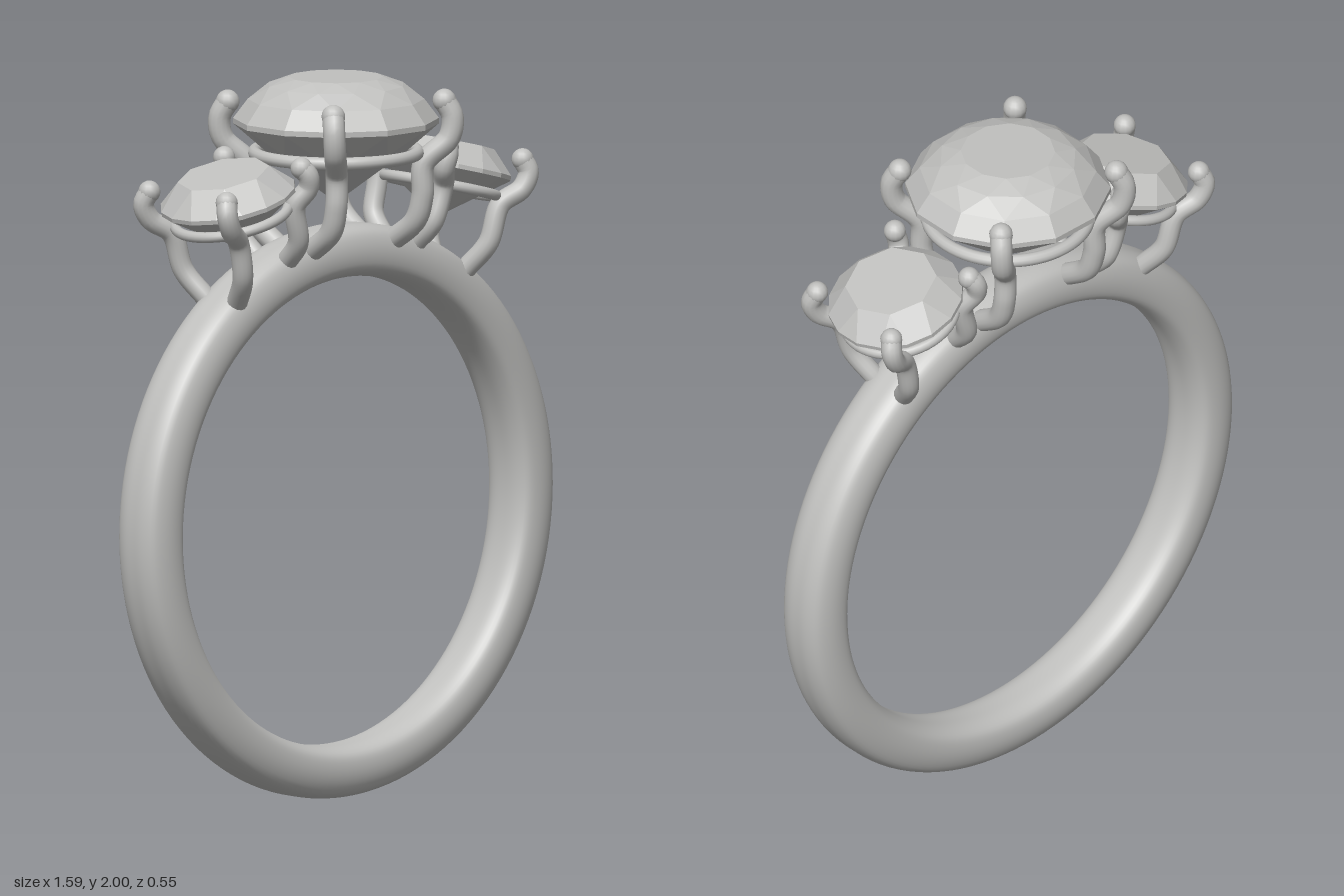
import * as THREE from 'three';
import { ConvexGeometry } from 'three/addons/geometries/ConvexGeometry.js';

const silver = new THREE.MeshStandardMaterial({ color: 0xc0c0be });
silver.name = 'silverGrey';

function add(parent, geometry, name) {
  const mesh = new THREE.Mesh(geometry, silver);
  mesh.name = name;
  parent.add(mesh);
  return mesh;
}

// Faceted stone: hull over rings of [radius, height, sides, turn in steps]
function gem(rings) {
  const pts = [];
  for (const [r, y, n, turn] of rings) {
    for (let i = 0; i < n; i++) {
      const a = ((i + turn) / n) * Math.PI * 2;
      pts.push(new THREE.Vector3(r * Math.cos(a), y, r * Math.sin(a)));
    }
  }
  return new ConvexGeometry(pts);
}

// Bent claw with rounded ends
function prong(parent, points, radius, name) {
  const group = new THREE.Group();
  group.name = name;
  const path = points.map((p) => new THREE.Vector3(...p));
  const curve = new THREE.CatmullRomCurve3(path, false, 'centripetal');
  add(group, new THREE.TubeGeometry(curve, 36, radius, 14, false), 'claw');
  for (const [end, size] of [[path[0], 1], [path[path.length - 1], 1.06]]) {
    add(group, new THREE.SphereGeometry(radius * size, 14, 10), 'clawEnd').position.copy(end);
  }
  parent.add(group);
}

// Rounded band, slightly wider at the top
function bandGeometry() {
  const half = [[0.65, 0], [0.654, 0.045], [0.672, 0.075], [0.705, 0.085],
    [0.745, 0.082], [0.778, 0.066], [0.793, 0.035], [0.795, 0]];
  const loop = [...half, ...half.slice(1, -1).reverse().map(([r, z]) => [r, -z])];
  const curve = new THREE.CatmullRomCurve3(
    loop.map(([r, z]) => new THREE.Vector3(r, z, 0)), true, 'centripetal');
  const profile = curve.getPoints(48).reverse().map((p) => new THREE.Vector2(p.x, p.y));
  // Lathe faces point outward when the section runs counter-clockwise
  let area = 0;
  profile.forEach((p, i) => { area += p.cross(profile[(i + 1) % profile.length]); });
  if (area < 0) profile.reverse();
  const g = new THREE.LatheGeometry(profile, 128);
  g.rotateX(Math.PI / 2);
  const pos = g.attributes.position;
  for (let i = 0; i < pos.count; i++) {
    pos.setZ(i, pos.getZ(i) * (1 + 0.07 * pos.getY(i)));
  }
  return g;
}

export function createModel() {
  const model = new THREE.Group();
  model.name = 'threeStoneRing';

  add(model, bandGeometry(), 'band').position.y = 0.795;

  // Centre stone and its setting
  const centre = new THREE.Group();
  centre.name = 'centreSetting';
  model.add(centre);
  add(centre, gem([
    [0.13, 2.0, 12, 0.5], [0.19, 1.978, 12, 0], [0.243, 1.938, 12, 0.5],
    [0.283, 1.885, 12, 0.5], [0.283, 1.87, 12, 0.5],
    [0.2, 1.8, 12, 0], [0, 1.65, 1, 0],
  ]), 'centreStone');
  const rail = add(centre, new THREE.TorusGeometry(0.225, 0.018, 12, 64), 'centreRail');
  rail.rotation.x = Math.PI / 2;
  rail.position.y = 1.79;

  for (const sx of [1, -1]) {
    // Side stone, leaning outward
    const side = new THREE.Group();
    side.name = sx > 0 ? 'leftSetting' : 'rightSetting';
    model.add(side);
    const head = new THREE.Group();
    head.name = 'sideHead';
    head.position.set(0.422 * sx, 1.712, 0);
    head.rotation.z = -sx * THREE.MathUtils.degToRad(15);
    side.add(head);
    add(head, gem([
      [0.128, 0.065, 8, 0], [0.19, 0, 16, 0.5], [0.19, -0.012, 16, 0.5],
      [0.1, -0.08, 8, 0.5], [0, -0.15, 1, 0],
    ]), 'sideStone');
    const sideRail = add(head, new THREE.TorusGeometry(0.158, 0.015, 12, 48), 'sideRail');
    sideRail.rotation.x = Math.PI / 2;
    sideRail.position.y = -0.06;

    for (const sz of [1, -1]) {
      const place = (list) => list.map(([x, y, z]) => [x * sx, y, z * sz]);
      prong(centre, place([
        [0.16, 1.535, 0.06], [0.165, 1.6, 0.145], [0.168, 1.67, 0.168], [0.17, 1.76, 0.172],
        [0.222, 1.83, 0.218], [0.23, 1.89, 0.222], [0.216, 1.932, 0.205],
      ]), 0.031, 'centreProng');
      prong(side, place([
        [0.445, 1.425, 0.06], [0.478, 1.5, 0.115], [0.51, 1.605, 0.13],
        [0.565, 1.645, 0.157], [0.586, 1.69, 0.163], [0.576, 1.725, 0.15],
      ]), 0.029, 'outerProng');
      prong(side, place([
        [0.25, 1.52, 0.06], [0.262, 1.58, 0.115], [0.288, 1.685, 0.13],
        [0.265, 1.735, 0.157], [0.272, 1.77, 0.163], [0.285, 1.79, 0.15],
      ]), 0.029, 'innerProng');
    }
  }
  return model;
}
